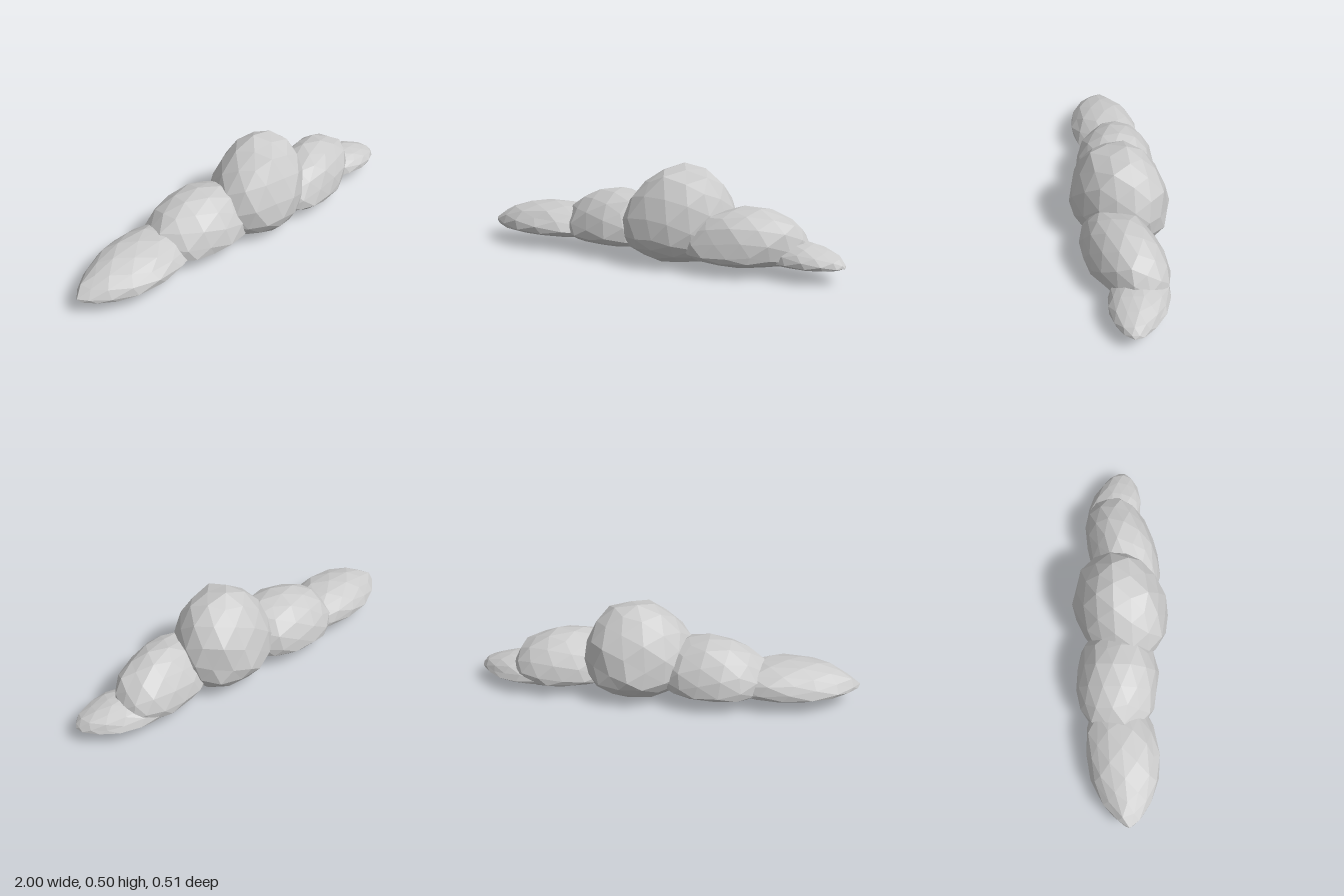
import * as THREE from 'three';

// Repeatable bump in -1..1, taken from a direction so shared corners stay joined
function bump(v, seed) {
  const q = (n) => Math.round(n * 1000) / 1000;
  const s = Math.sin(q(v.x) * 12.99 + q(v.y) * 78.23 + q(v.z) * 37.72 + seed * 4.1) * 437.58;
  return 2 * (s - Math.floor(s)) - 1;
}

// One faceted puff: domed top, shallow underside, fitted to its extents
function puff({ name, x, y, z, waist, turn, skew = 0, lean = 0, pinch = 0, seed }) {
  const geo = new THREE.IcosahedronGeometry(1, 2);
  geo.rotateY(turn).rotateZ(0.2);
  const pos = geo.attributes.position;
  const v = new THREE.Vector3();
  for (let i = 0; i < pos.count; i++) {
    v.fromBufferAttribute(pos, i).normalize();
    const r = 1 + 0.035 * bump(v, seed);
    // pinch draws the x ends to a point
    const taper = Math.pow(Math.max(0, 1 - v.x * v.x), pinch);
    const px = v.x * r + lean * Math.max(0, v.y);
    pos.setXYZ(i, px, v.y * r * taper, v.z * r * taper + skew * v.x);
  }
  geo.computeBoundingBox();
  const { min, max } = geo.boundingBox;
  for (let i = 0; i < pos.count; i++) {
    v.fromBufferAttribute(pos, i);
    pos.setXYZ(
      i,
      THREE.MathUtils.mapLinear(v.x, min.x, max.x, x[0], x[1]),
      v.y > 0 ? waist + (v.y / max.y) * (y[1] - waist) : waist - (v.y / min.y) * (waist - y[0]),
      THREE.MathUtils.mapLinear(v.z, min.z, max.z, z[0], z[1])
    );
  }
  geo.computeVertexNormals();
  const mesh = new THREE.Mesh(
    geo,
    new THREE.MeshStandardMaterial({ color: 0xcccccc, flatShading: true })
  );
  mesh.name = name;
  return mesh;
}

export function createModel() {
  const cloud = new THREE.Group();
  cloud.name = 'cloud';
  const puffs = [
    { name: 'rightEndPuff', x: [-1, -0.25], y: [0.055, 0.235], z: [-0.19, 0.18],
      waist: 0.1, turn: 0.0, skew: -0.15, pinch: 0.22, seed: 1 },
    { name: 'rightPuff', x: [-0.56, 0.06], y: [0.04, 0.342], z: [-0.24, 0.195],
      waist: 0.11, turn: 0.5, skew: 0.05, lean: 0.1, seed: 2 },
    { name: 'middlePuff', x: [-0.16, 0.425], y: [0, 0.505], z: [-0.255, 0.252],
      waist: 0.165, turn: 0.9, skew: -0.15, lean: 0.12, seed: 3 },
    { name: 'leftPuff', x: [0.18, 0.81], y: [0.033, 0.322], z: [-0.18, 0.225],
      waist: 0.105, turn: 1.3, skew: -0.35, lean: 0.1, seed: 4 },
    { name: 'leftEndPuff', x: [0.5, 1], y: [0.055, 0.177], z: [-0.167, 0.132],
      waist: 0.085, turn: 0.3, skew: 0.3, pinch: 0.15, seed: 5 },
  ];
  for (const p of puffs) cloud.add(puff(p));
  return cloud;
}
